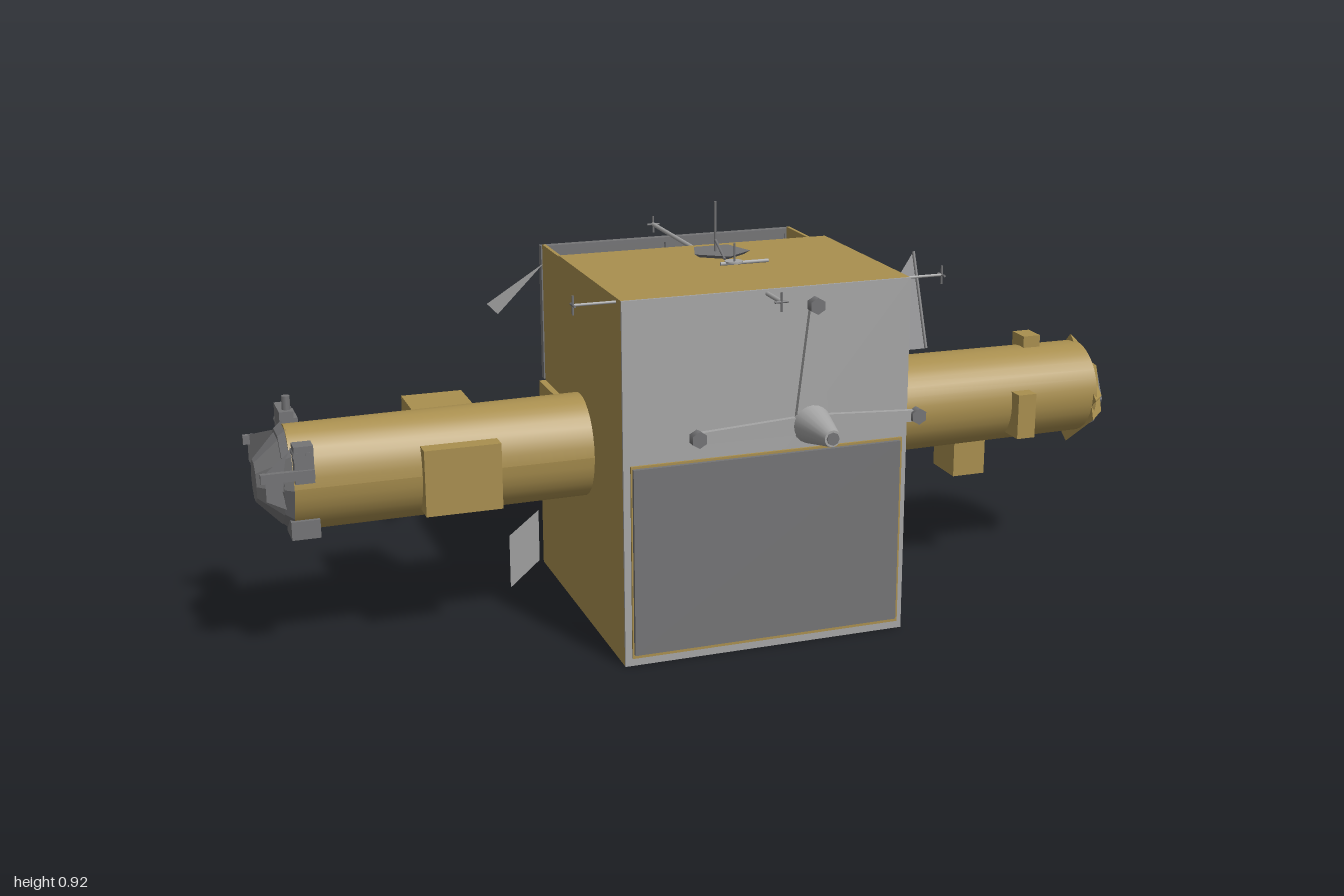
import * as THREE from 'three';

const mat = (name, color, side = THREE.FrontSide) => Object.assign(new THREE.MeshStandardMaterial({ color, side }), { name });

export function createModel() {
  const root = new THREE.Group();
  root.name = 'spacecraft';
  const gold = mat('gold foil', 0xa98f4f);
  const light = mat('light grey', 0xa6a6a6, THREE.DoubleSide);
  const dark = mat('dark grey', 0x747476, THREE.DoubleSide);

  const add = (name, geo, m, x = 0, y = 0, z = 0) => {
    const mesh = new THREE.Mesh(geo, m);
    mesh.name = name;
    mesh.position.set(x, y, z);
    root.add(mesh);
    return mesh;
  };
  const box = (name, m, x0, x1, y0, y1, z0, z1) =>
    add(name, new THREE.BoxGeometry(x1 - x0, y1 - y0, z1 - z0), m, (x0 + x1) / 2, (y0 + y1) / 2, (z0 + z1) / 2);
  // Round bar between two points
  const rod = (name, m, a, b, r, r2 = r, sides = 8) => {
    const A = new THREE.Vector3(...a), B = new THREE.Vector3(...b), d = B.clone().sub(A);
    const mesh = add(name, new THREE.CylinderGeometry(r2, r, d.length(), sides), m);
    mesh.position.copy(A).add(B).multiplyScalar(0.5);
    mesh.quaternion.setFromUnitVectors(new THREE.Vector3(0, 1, 0), d.normalize());
    return mesh;
  };
  // Flat sheet fanned from its first corner
  const sheet = (name, m, ...pts) => {
    const g = new THREE.BufferGeometry();
    g.setAttribute('position', new THREE.Float32BufferAttribute(pts.flat(), 3));
    const idx = [];
    for (let i = 1; i < pts.length - 1; i++) idx.push(0, i, i + 1);
    g.setIndex(idx);
    g.computeVertexNormals();
    return add(name, g, m);
  };
  // Turned part lying along x; r0 at x0, r1 at x1; faceted when it has few sides
  const turned = (name, m, x0, x1, r0, r1, sides, y = 0.41, z = 0, spin = 0) => {
    let g = new THREE.CylinderGeometry(r1, r0, x1 - x0, sides);
    if (sides < 12) {
      g = g.toNonIndexed();
      g.computeVertexNormals();
    }
    g.rotateY(spin).rotateZ(-Math.PI / 2);
    return add(name, g, m, (x0 + x1) / 2, y, z);
  };

  // Main body, with a recessed bay behind its upper half
  box('mainBody', gold, -0.29, 0.35, 0, 0.795, -0.145, 0.312);
  box('rearBody', gold, -0.29, 0.35, 0, 0.455, -0.34, -0.145);
  const bay = new THREE.Shape([[0.145, 0.455], [0.335, 0.455], [0.335, 0.67], [0.145, 0.78]].map(p => new THREE.Vector2(...p)));
  const bayGeo = new THREE.ExtrudeGeometry(bay, { depth: 0.6, bevelEnabled: false });
  bayGeo.rotateY(Math.PI / 2);
  add('rearBay', bayGeo, gold, -0.268, 0, 0);
  for (const x of [-0.275, 0.333]) box('bayWall', gold, x, x + 0.008, 0.455, 0.78, -0.34, -0.145);
  box('sidePanel', dark, 0.34, 0.352, 0.455, 0.595, -0.32, -0.15);

  // Front plate and its radiator
  box('frontPlate', light, -0.29, 0.35, 0, 0.795, 0.312, 0.317);
  box('radiatorTrim', gold, -0.275, 0.338, 0.018, 0.445, 0.317, 0.322);
  box('frontRadiator', dark, -0.272, 0.33, 0.028, 0.44, 0.32, 0.331);

  // Rear radiators: solid below, half open and braced above
  box('rearRadiator', dark, -0.275, 0.34, 0.02, 0.44, -0.357, -0.34);
  box('upperRadiator', dark, 0.035, 0.335, 0.465, 0.77, -0.355, -0.343);
  sheet('upperRadiatorCorner', dark, [0.035, 0.77, -0.348], [0.035, 0.465, -0.348], [-0.265, 0.77, -0.348]);
  for (const x of [-0.278, 0.025, 0.33]) box('frameUpright', dark, x, x + 0.012, 0.458, 0.775, -0.359, -0.34);
  for (const y of [0.458, 0.764]) box('frameRail', dark, -0.278, 0.342, y, y + 0.012, -0.359, -0.34);
  rod('frameBrace', dark, [0.03, 0.465, -0.35], [-0.27, 0.77, -0.35], 0.007);
  rod('frameBrace', dark, [-0.12, 0.62, -0.35], [-0.27, 0.465, -0.35], 0.006);

  // Slanted vanes around the body
  sheet('leftFin', dark, [0.38, 0.53, -0.045], [0.57, 0.53, -0.045], [0.57, 0.745, -0.128]);
  rod('finEdge', dark, [0.57, 0.53, -0.045], [0.57, 0.745, -0.128], 0.004);
  sheet('rightUpperFin', light, [-0.41, 0.65, -0.34], [-0.41, 0.65, -0.235], [-0.3, 0.76, -0.235]);
  sheet('rightLowerVane', light, [-0.3, 0.005, -0.34], [-0.41, 0.005, -0.19], [-0.41, 0.133, -0.19], [-0.3, 0.133, -0.34]);
  sheet('leftLowerVane', light, [0.412, 0.07, -0.265], [0.358, 0.005, -0.335], [0.47, 0.005, -0.19], [0.47, 0.133, -0.19], [0.355, 0.133, -0.34]);

  // Left module with equipment boxes, diamond collar and faceted hatch
  turned('leftModule', gold, 0.3, 0.945, 0.112, 0.108, 32, 0.418);
  turned('leftCollar', gold, 0.935, 0.972, 0.132, 0.095, 4, 0.41, -0.01);
  turned('leftEndFlange', gold, 0.935, 0.975, 0.125, 0.092, 5, 0.4, -0.005, Math.PI / 2);
  turned('leftHatch', dark, 0.965, 0.985, 0.086, 0.08, 7, 0.395, -0.013);
  turned('leftHatchCap', dark, 0.985, 1.0, 0.08, 0.008, 7, 0.395, -0.013);
  box('moduleBox', gold, 0.61, 0.69, 0.235, 0.33, -0.065, 0.04);
  box('moduleBox', gold, 0.795, 0.838, 0.5, 0.553, -0.04, 0.015);
  box('moduleBox', gold, 0.72, 0.765, 0.345, 0.45, 0.07, 0.14);
  box('moduleBox', gold, 0.72, 0.765, 0.345, 0.45, -0.17, -0.07);

  // Right module, flattened towards its far end
  const rightModule = turned('rightModule', gold, -0.935, -0.27, 0.115, 0.115, 32, 0.403, 0.004).geometry;
  const pos = rightModule.attributes.position;
  for (let i = 0; i < pos.count; i++) {
    const t = 0.5 - pos.getX(i) / 0.665;
    pos.setZ(i, pos.getZ(i) * (0.94 - 0.16 * t) + 0.018 * t);
  }
  rightModule.computeVertexNormals();
  box('moduleBox', gold, -0.665, -0.5, 0.32, 0.465, 0.06, 0.135);
  box('moduleBox', gold, -0.65, -0.515, 0.34, 0.5, -0.17, -0.03);
  rod('sideThruster', dark, [-0.572, 0.42, -0.165], [-0.572, 0.42, -0.207], 0.025, 0.042, 12);
  rod('thrusterCollar', dark, [-0.572, 0.42, -0.16], [-0.572, 0.42, -0.175], 0.045, 0.04, 12);

  // Docking end: plate, cone, crossbar and broad guide petals
  turned('dockingPlate', dark, -0.95, -0.932, 0.1, 0.115, 10, 0.405, 0.01);
  turned('dockingCone', dark, -1.0, -0.95, 0.045, 0.097, 10, 0.4, 0.01);
  for (const x of [-0.925, -0.9]) rod('dockingCrossbar', dark, [x, 0.48, -0.155], [x, 0.48, 0.13], 0.008);
  for (const [z, inner] of [[-0.155, -0.08], [0.128, 0.09]]) {
    sheet('guidePetal', dark, [-0.935, 0.35, inner], [-0.935, 0.48, inner], [-0.99, 0.45, z], [-0.99, 0.39, z]);
    box('petalRail', dark, -1.0, -0.89, 0.43, 0.45, z - 0.006, z + 0.006);
    box('petalBlock', dark, -0.93, -0.89, 0.42, 0.5, Math.min(z, inner), Math.max(z, inner));
  }
  box('lowerPetal', dark, -0.94, -0.88, 0.29, 0.33, 0.03, 0.1);
  box('upperPetal', dark, -0.935, -0.905, 0.49, 0.53, -0.11, -0.03);
  rod('dockingPost', dark, [-0.917, 0.47, -0.05], [-0.917, 0.56, -0.05], 0.009);

  // Front nozzle on a three armed bracket
  rod('frontNozzle', light, [0.125, 0.498, 0.325], [0.125, 0.498, 0.437], 0.043, 0.018, 20);
  rod('nozzleTip', dark, [0.125, 0.498, 0.433], [0.125, 0.498, 0.44], 0.014, 0.014, 8);
  const arms = [[0.13, 0.755, 0.038], [-0.13, 0.492, 0.02], [0.37, 0.492, 0.02]];
  for (const [ex, ey, w] of arms) {
    const a = new THREE.Vector2(0.125, 0.498), d = new THREE.Vector2(ex, ey).sub(a), n = new THREE.Vector2(-d.y, d.x).normalize();
    const at = (t, k) => a.clone().addScaledVector(d, t).addScaledVector(n, k);
    const shape = new THREE.Shape([at(0, -w), at(1, -0.012), at(1, 0.012), at(0, w)]);
    add('bracketArm', new THREE.ExtrudeGeometry(shape, { depth: 0.012, bevelEnabled: false }), light, 0, 0, 0.317);
    rod('bracketFoot', dark, [ex, ey, 0.317], [ex, ey, 0.338], 0.018, 0.018, 6);
  }

  // Roof dish with mast, strut and a small whip aerial
  add('roofDish', new THREE.CylinderGeometry(0.068, 0.055, 0.008, 5), dark, 0.04, 0.805, -0.012);
  rod('roofMast', dark, [0.03, 0.8, -0.01], [0.03, 0.92, -0.01], 0.003);
  rod('mastStrut', dark, [0.03, 0.803, 0.05], [0.03, 0.835, -0.01], 0.003);
  add('aerialBase', new THREE.CylinderGeometry(0.02, 0.02, 0.004, 10), light, 0.03, 0.809, 0.105);
  rod('aerialFoot', light, [0.0, 0.806, 0.105], [0.11, 0.806, 0.105], 0.004);
  rod('whipAerial', dark, [0.03, 0.808, 0.11], [0.03, 0.85, 0.11], 0.002);

  // Boom aerials with crossed tips
  const booms = [
    [[0.025, 0.79, -0.14], [0.025, 0.79, -0.43], 0.005],
    [[0.025, 0.786, 0.31], [0.025, 0.786, 0.395], 0.005],
    [[-0.29, 0.786, 0.28], [-0.38, 0.786, 0.28], 0.003],
    [[0.35, 0.786, 0.28], [0.44, 0.786, 0.28], 0.003],
  ];
  for (const [a, b, r] of booms) {
    rod('boom', light, a, b, r);
    const side = a[0] === b[0] ? [0.015, 0] : [0, 0.015];
    rod('boomTip', dark, [b[0], b[1] - 0.02, b[2]], [b[0], b[1] + 0.02, b[2]], 0.0025);
    rod('boomTip', dark, [b[0] - side[0], b[1], b[2] - side[1]], [b[0] + side[0], b[1], b[2] + side[1]], 0.0025);
  }
  return root;
}
